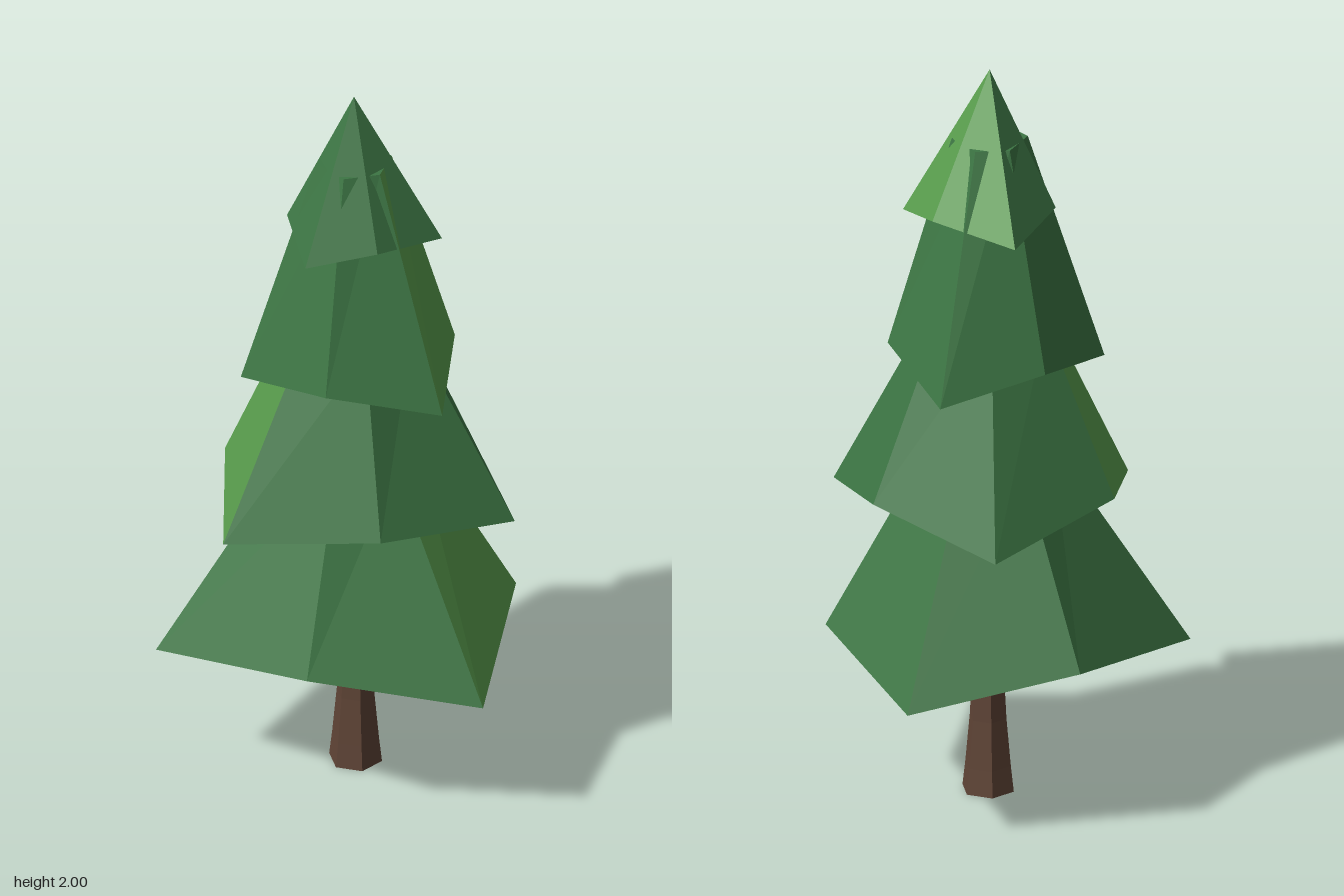
import * as THREE from 'three';

const darkGreen = new THREE.MeshStandardMaterial({ color: 0x3d7644, flatShading: true });
const lightGreen = new THREE.MeshStandardMaterial({ color: 0x599d4d, flatShading: true });
const bark = new THREE.MeshStandardMaterial({ color: 0x5f4436, flatShading: true });
darkGreen.name = 'darkGreen';
lightGreen.name = 'lightGreen';
bark.name = 'bark';

// Each tier: six rim corners [x, z] running back-left to right to front to left,
// alternating rim heights, a small top ring, and the indices of its lighter sides.
const tiers = [
  { name: 'bottomTier', low: 0.39, high: 0.475, top: 0.95, r: 0.16, under: 0.6, light: [1],
    rim: [[-0.24, -0.435], [0.195, -0.35], [0.465, 0.03], [0.155, 0.355], [-0.315, 0.435], [-0.465, -0.05]] },
  { name: 'lowerMiddleTier', low: 0.795, high: 0.865, top: 1.32, r: 0.155, under: 0.95, light: [4],
    rim: [[-0.355, -0.24], [0.015, -0.34], [0.34, -0.205], [0.255, 0.19], [-0.1, 0.405], [-0.345, 0.16]] },
  { name: 'upperMiddleTier', low: 1.19, high: 1.25, top: 1.81, r: 0.098, under: 1.33, light: [1],
    rim: [[-0.2, -0.295], [0.11, -0.215], [0.295, 0.01], [0.095, 0.23], [-0.195, 0.25], [-0.305, -0.035]] },
  { name: 'topTier', low: 1.59, high: 1.63, top: 2, r: 0, under: 1.7, light: [5, 0], highFirst: true,
    rim: [[-0.04, -0.19], [0.14, -0.14], [0.125, 0.075], [0, 0.21], [-0.17, 0.11], [-0.245, -0.085]] },
];

const axisX = -0.038;

function makeTier(t) {
  const n = t.rim.length;
  const bottom = t.rim.map(([x, z], i) =>
    [x, (i % 2 === 0) !== !!t.highFirst ? t.low : t.high, z]);
  const top = t.rim.map(([x, z]) => {
    const d = Math.hypot(x - axisX, z);
    return [axisX + ((x - axisX) / d) * t.r, t.top, (z / d) * t.r];
  });
  const hollow = [axisX, t.under, 0];
  const cap = [axisX, t.top, 0];
  const dark = [];
  const light = [];
  for (let i = 0; i < n; i++) {
    const j = (i + 1) % n;
    // sloping side
    const side = t.light.includes(i) ? light : dark;
    side.push(bottom[j], bottom[i], top[i]);
    if (t.r > 0) {
      side.push(bottom[j], top[i], top[j]);
      dark.push(top[j], top[i], cap);
    }
    // hollow underside
    dark.push(bottom[i], bottom[j], hollow);
  }
  const geometry = new THREE.BufferGeometry();
  geometry.setAttribute('position', new THREE.Float32BufferAttribute([...dark, ...light].flat(), 3));
  geometry.addGroup(0, dark.length, 0);
  geometry.addGroup(dark.length, light.length, 1);
  geometry.computeVertexNormals();
  const mesh = new THREE.Mesh(geometry, [darkGreen, lightGreen]);
  mesh.name = t.name;
  return mesh;
}

export function createModel() {
  const tree = new THREE.Group();
  tree.name = 'pineTree';

  // six-sided trunk, flared at the foot
  const profile = [[0, 0], [0.07, 0], [0.062, 0.07], [0.05, 0.2], [0.042, 0.35], [0.038, 0.66]]
    .map(([r, y]) => new THREE.Vector2(r, y));
  const trunk = new THREE.Mesh(new THREE.LatheGeometry(profile, 6), bark);
  trunk.name = 'trunk';
  trunk.position.x = -0.032;
  tree.add(trunk);

  // stacked foliage
  for (const t of tiers) tree.add(makeTier(t));
  return tree;
}
